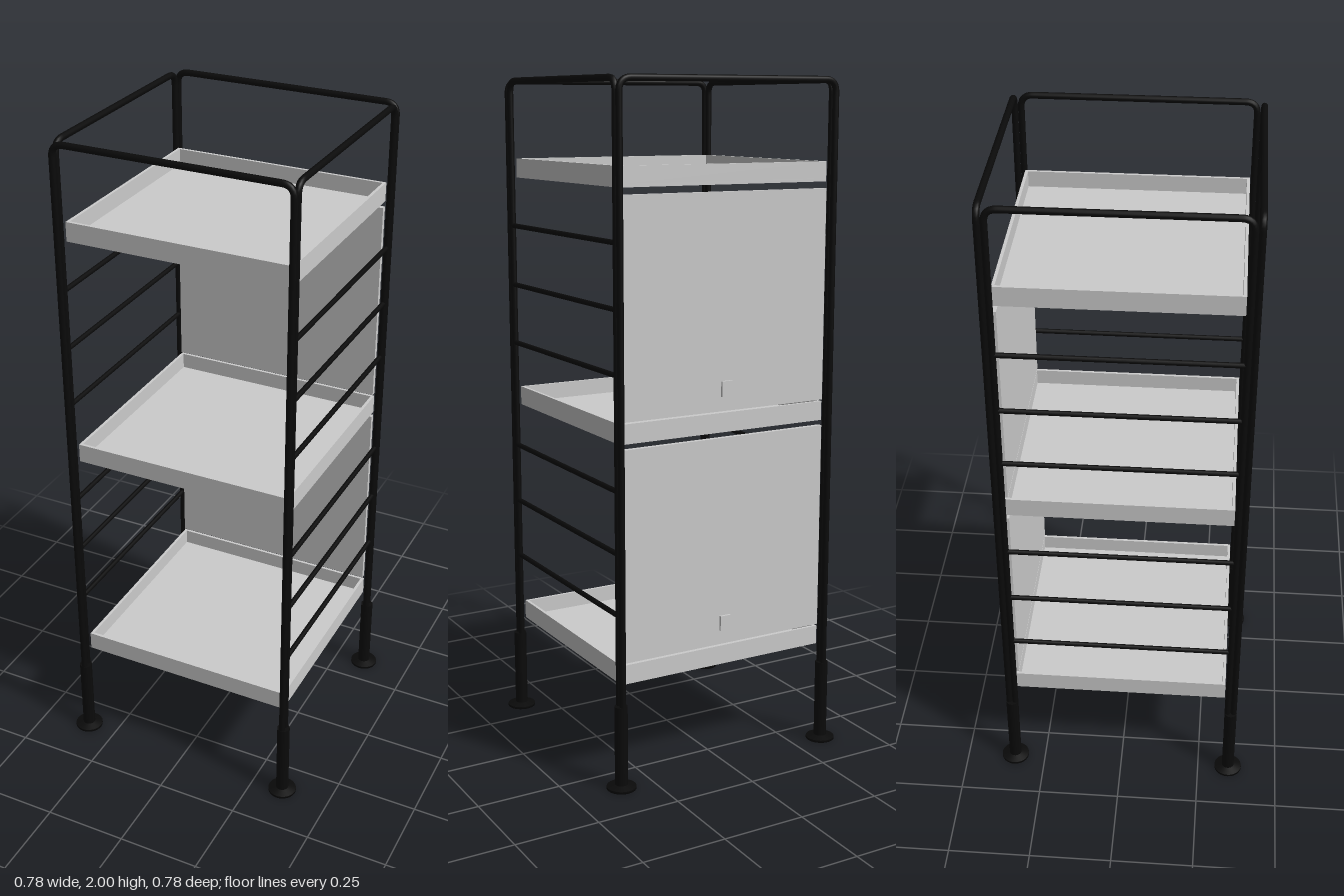
import * as THREE from 'three';

const grey = new THREE.MeshStandardMaterial({ color: 0xcccccc });
const black = new THREE.MeshStandardMaterial({ color: 0x0a0a0a });

const POST = 0.348; // corner post distance from the centre
const TUBE = 0.0095;

function add(parent, name, geometry, material, x = 0, y = 0, z = 0) {
  const mesh = new THREE.Mesh(geometry, material);
  mesh.name = name;
  mesh.position.set(x, y, z);
  parent.add(mesh);
  return mesh;
}

// Upside-down U of bent tube, in the xy plane
function hoopGeometry(half, bottom, top, bend) {
  const v = (x, y) => new THREE.Vector3(x, y, 0);
  const path = new THREE.CurvePath();
  path.add(new THREE.LineCurve3(v(-half, bottom), v(-half, top - bend)));
  path.add(new THREE.QuadraticBezierCurve3(v(-half, top - bend), v(-half, top), v(-half + bend, top)));
  path.add(new THREE.LineCurve3(v(-half + bend, top), v(half - bend, top)));
  path.add(new THREE.QuadraticBezierCurve3(v(half - bend, top), v(half, top), v(half, top - bend)));
  path.add(new THREE.LineCurve3(v(half, top - bend), v(half, bottom)));
  return new THREE.TubeGeometry(path, 500, TUBE, 12);
}

// Shallow open tray: a floor and four thin walls
function createTray(y) {
  const tray = new THREE.Group();
  tray.name = 'tray';
  const w = 0.674, d = 0.658, h = 0.057, t = 0.009;
  add(tray, 'trayFloor', new THREE.BoxGeometry(w, t, d), grey, 0, t / 2, 0);
  for (const s of [-1, 1]) {
    add(tray, 'trayEndWall', new THREE.BoxGeometry(w, h - t, t), grey, 0, (h + t) / 2, s * (d - t) / 2);
    add(tray, 'traySideWall', new THREE.BoxGeometry(t, h - t, d - 2 * t), grey, s * (w - t) / 2, (h + t) / 2, 0);
  }
  tray.position.set(0, y, -0.003);
  return tray;
}

// Back panel with a small catch near its lower edge
function createBackPanel(bottom, top) {
  const panel = new THREE.Group();
  panel.name = 'backPanel';
  add(panel, 'panelSheet', new THREE.BoxGeometry(0.67, top - bottom, 0.015), grey, 0, (bottom + top) / 2, -0.33);
  add(panel, 'panelCatch', new THREE.BoxGeometry(0.035, 0.045, 0.008), grey, -0.002, bottom + 0.065, -0.341);
  return panel;
}

export function createModel() {
  const model = new THREE.Group();
  model.name = 'trayTower';

  // Front, back and side hoops stand side by side at each corner
  const endHoop = hoopGeometry(POST - 0.001, 0.2, 1.99, 0.035);
  const sideHoop = hoopGeometry(0.337, 0.2, 1.99, 0.035);
  for (const s of [-1, 1]) {
    add(model, s > 0 ? 'frontHoop' : 'backHoop', endHoop, black, 0, 0, s * 0.356);
    add(model, s > 0 ? 'leftHoop' : 'rightHoop', sideHoop, black, s * POST, 0, 0).rotation.y = Math.PI / 2;
  }

  // Legs: sleeve and flared foot turned as one profile
  const legProfile = [
    [0, 0], [0.043, 0], [0.043, 0.007], [0.043, 0.007], [0.019, 0.013], [0.019, 0.013],
    [0.019, 0.25], [0.019, 0.25], [0, 0.25],
  ].map(([r, y]) => new THREE.Vector2(r, y));
  const legGeometry = new THREE.LatheGeometry(legProfile, 32);
  for (const x of [-POST, POST])
    for (const z of [-0.347, 0.347]) add(model, 'leg', legGeometry, black, x, 0, z);

  // Horizontal rods along both sides
  const rodGeometry = new THREE.CylinderGeometry(0.0075, 0.0075, 0.674, 12).rotateX(Math.PI / 2);
  for (const x of [-POST, POST])
    for (const y of [0.515, 0.695, 0.875, 1.2, 1.38, 1.56]) add(model, 'sideRod', rodGeometry, black, x, y, 0);

  for (const y of [0.305, 1.005, 1.705]) model.add(createTray(y));
  model.add(createBackPanel(0.37, 0.99), createBackPanel(1.068, 1.686));

  return model;
}
